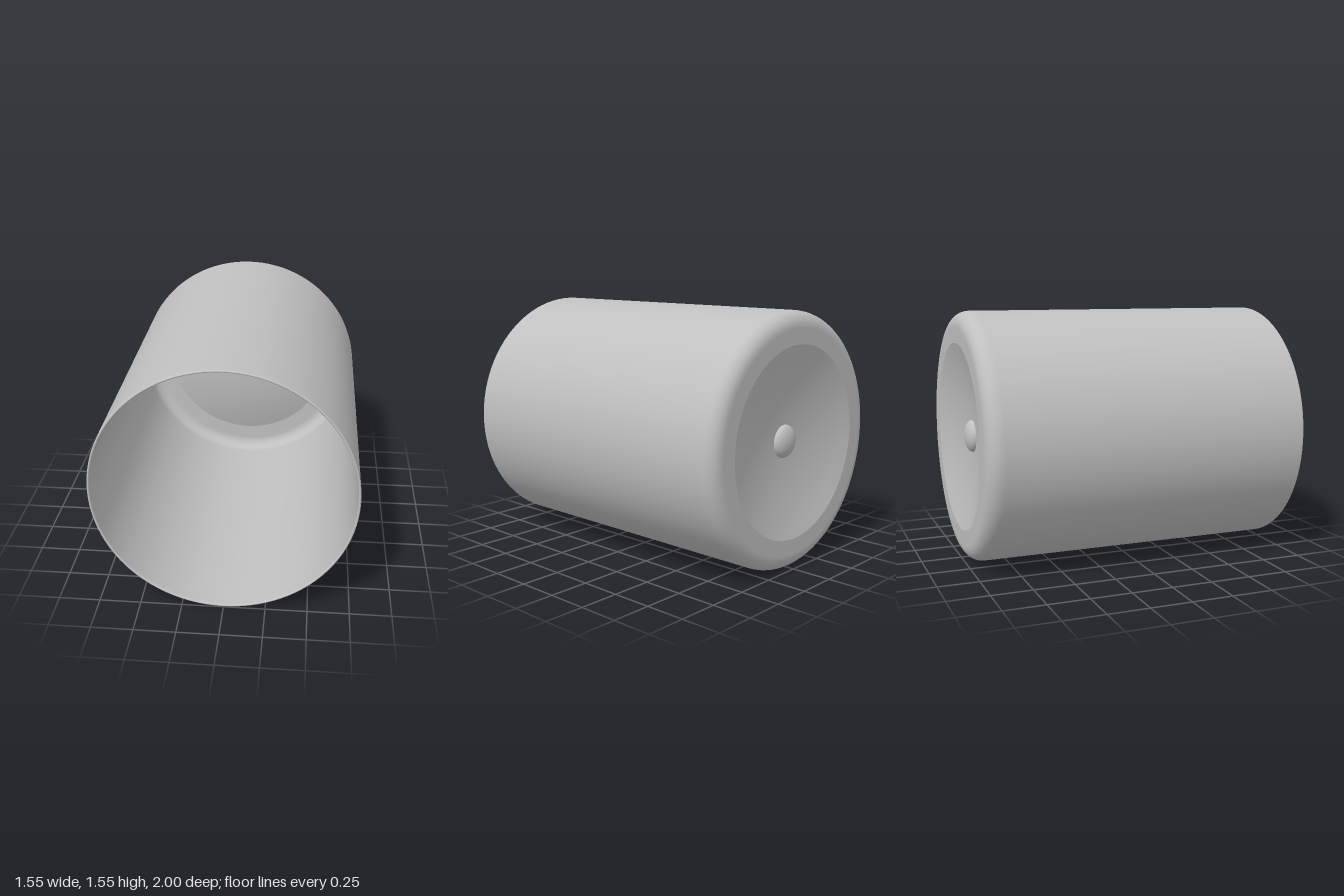
import * as THREE from 'three';

const SEGMENTS = 96;
const R = 0.773;        // outer radius
const WALL = 0.015;     // wall thickness
const FILLET = 0.09;    // rounding at the closed end
const DISH_R = 0.58;    // edge of the inward dish
const DISH_DEPTH = 0.095;
const BUTTON_R = 0.1;   // raised centre button
const BUTTON_H = 0.05;

const dishZ = (r) => -1 + DISH_DEPTH * (1 - (r / DISH_R) ** 2);

// Points on a quarter arc from angle a to b
function arc(cx, cy, radius, a, b, n) {
  return Array.from({ length: n + 1 }, (_, i) => {
    const t = a + (b - a) * i / n;
    return [cx + radius * Math.cos(t), cy + radius * Math.sin(t)];
  });
}

// Dome profile, from the centre outwards
function buttonProfile(radius, height) {
  return Array.from({ length: 9 }, (_, i) => {
    const t = (i / 8) * Math.PI / 2;
    return [radius * Math.sin(t), dishZ(BUTTON_R) - height * Math.cos(t)];
  });
}

// Shallow dish profile, from the button outwards
function dishProfile() {
  return Array.from({ length: 9 }, (_, i) => {
    const r = BUTTON_R + (DISH_R - BUTTON_R) * i / 8;
    return [r, dishZ(r)];
  });
}

export function createModel() {
  const group = new THREE.Group();
  const grey = new THREE.MeshStandardMaterial({ color: 0xc0c0c0 });
  grey.name = 'plain grey';

  // Each part is a profile of [radius, z] turned about the lying axis
  function turn(name, profile) {
    const points = profile.map(([r, z]) => new THREE.Vector2(Math.max(r, 0), z));
    const geometry = new THREE.LatheGeometry(points, SEGMENTS);
    geometry.rotateX(Math.PI / 2);
    geometry.translate(0, R, 0);
    const mesh = new THREE.Mesh(geometry, grey);
    mesh.name = name;
    group.add(mesh);
  }

  // The same profile moved to the inner face and reversed to face inwards
  const inside = (profile) => profile.map(([r, z]) => [r, z + WALL]).reverse();

  // Closed end
  const button = buttonProfile(BUTTON_R, BUTTON_H);
  const dish = dishProfile();
  turn('outerButton', button);
  turn('outerDish', dish);
  turn('innerDish', inside(dish));
  turn('innerButton', inside(button));

  // Outer shell: flat foot ring, rounded corner and straight wall
  turn('outerShell', [
    [DISH_R, -1],
    [R - FILLET - 0.01, -1],
    ...arc(R - FILLET, -1 + FILLET, FILLET, -Math.PI / 2, 0, 8),
    [R, -0.9],
    [R, 0.99],
  ]);

  // Rounded lip at the open end
  turn('lip', arc(R - WALL / 2, 0.99, WALL / 2, 0, Math.PI, 8)
    .map(([r, z]) => [r, 0.99 + (z - 0.99) * 0.01 / (WALL / 2)]));

  // Inner shell: straight wall, rounded corner and ring around the dish
  const inner = FILLET - WALL;
  turn('innerShell', [
    [R - WALL, 0.99],
    [R - WALL, -0.9],
    ...arc(R - FILLET, -1 + FILLET, inner, 0, -Math.PI / 2, 8),
    [R - FILLET - 0.01, -1 + WALL],
    [DISH_R, -1 + WALL],
  ]);

  return group;
}
